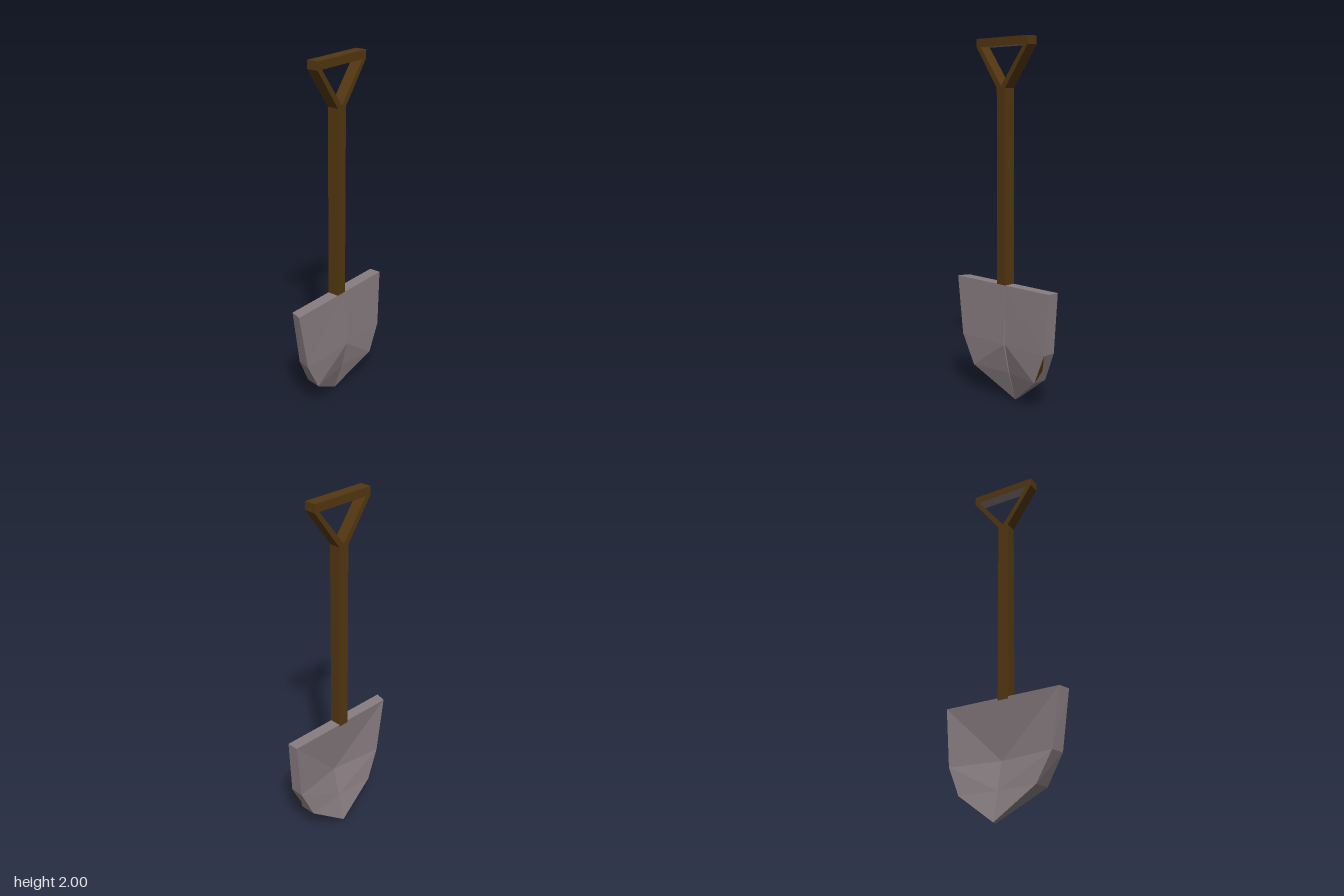
import * as THREE from 'three';

export function createModel() {
  const wood = new THREE.MeshStandardMaterial({ color: 0x533710 });
  wood.name = 'darkWood';
  const metal = new THREE.MeshStandardMaterial({ color: 0x887d81 });
  metal.name = 'greyMetal';

  const group = new THREE.Group();
  const X0 = -0.025, X1 = 0.042, CENTRE = -0.035;

  const add = (name, geometry, material) => {
    const mesh = new THREE.Mesh(geometry, material);
    mesh.name = name;
    group.add(mesh);
    return mesh;
  };

  const fromTriangles = (points) => {
    const g = new THREE.BufferGeometry();
    g.setAttribute('position', new THREE.Float32BufferAttribute(points.flat(), 3));
    g.computeVertexNormals();
    return g;
  };

  const bar = (name, y0, y1, z0, z1, material) => {
    const g = new THREE.BoxGeometry(X1 - X0, y1 - y0, z1 - z0);
    g.translate((X0 + X1) / 2, (y0 + y1) / 2, (z0 + z1) / 2);
    return add(name, g, material);
  };

  // Shaft, and crossbar with a metal underside
  bar('shaft', 0.655, 1.735, -0.033, 0.031, wood);
  bar('gripBar', 1.955, 2, -0.198, 0.188, [wood, wood, wood, metal, wood, wood]);

  // Slanted struts: outlines in (z, y), extruded along x
  const strut = (name, outline) => {
    const shape = new THREE.Shape(outline.map(([z, y]) => new THREE.Vector2(-z, y)));
    const g = new THREE.ExtrudeGeometry(shape, { depth: X1 - X0, bevelEnabled: false });
    g.rotateY(Math.PI / 2);
    g.translate(X0, 0, 0);
    add(name, g, wood);
  };
  strut('frontStrut', [[0.188, 1.955], [0.031, 1.735], [-0.001, 1.735], [-0.001, 1.745], [0.155, 1.955]]);
  strut('backStrut', [[-0.198, 1.955], [-0.033, 1.735], [-0.001, 1.735], [-0.001, 1.745], [-0.168, 1.955]]);

  // Blade half: loft of four-cornered sections from the top row down to the tip.
  // Row: y, hollow-side x and z, outer-side x and z, centre x on both sides
  const bladeHalf = (name, rows, flip) => {
    const sections = rows.map(([y, xa, za, xb, zb, ca, cb]) => [
      [xa, y, za], [xb, y, zb], [cb, y, CENTRE], [ca, y, CENTRE],
    ]);
    const points = [];
    const tri = (a, b, c) => points.push(...(flip ? [a, c, b] : [a, b, c]));
    const quad = (a, b, c, d) => { tri(a, b, c); tri(a, c, d); };
    quad(...sections[0]);
    for (let i = 0; i < sections.length - 1; i++) {
      const up = sections[i], low = sections[i + 1];
      for (let k = 0; k < 4; k++) {
        const n = (k + 1) % 4;
        quad(low[k], low[n], up[n], up[k]);
      }
    }
    add(name, fromTriangles(points), metal);
  };
  bladeHalf('frontBladeHalf', [
    [0.667, X0, 0.335, X1, 0.357, X0, X1],
    [0.335, X0, 0.285, 0.053, 0.305, 0.02, 0.057],
    [0.167, -0.04, 0.2, 0.05, 0.215, -0.02, 0.018],
    [0, -0.06, CENTRE, -0.035, CENTRE, -0.06, -0.035],
  ], false);
  bladeHalf('backBladeHalf', [
    [0.667, X0, -0.36, X1, -0.36, X0, X1],
    [0.335, X0, -0.335, 0.053, -0.335, 0.02, 0.047],
    [0.167, -0.04, -0.26, 0.05, -0.263, -0.02, 0.012],
    [0, -0.06, CENTRE, -0.035, CENTRE, -0.06, -0.035],
  ], true);

  // Small wooden sliver on the back rim of the blade
  const sliver = add('rimSliver', fromTriangles([
    [0.053, 0.335, -0.337], [0.05, 0.167, -0.265], [0.022, 0.24, -0.297],
  ]), wood.clone());
  sliver.material = wood;
  // Orient the face outwards
  sliver.geometry.setIndex([0, 1, 2]);

  return group;
}
